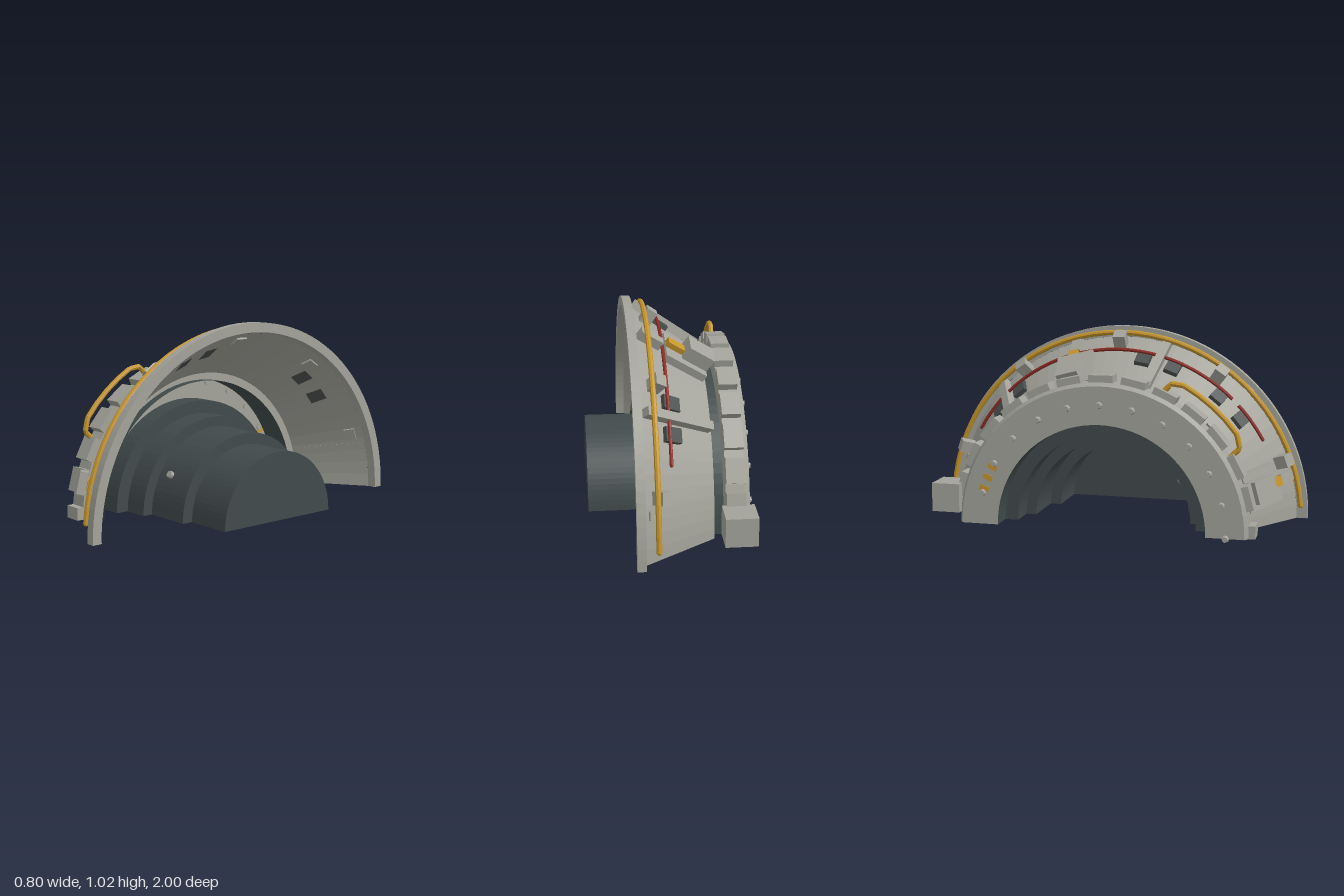
import * as THREE from 'three';

export function createModel() {
  const mat = (name, color) => new THREE.MeshStandardMaterial({ name, color, flatShading: true, side: THREE.DoubleSide });
  const grey = mat('hull grey', 0xa3a39b);
  const dark = mat('core charcoal', 0x414a4b);
  const clampMat = mat('clamp grey', 0x4a504e);
  const yellow = mat('pipe yellow', 0xc4952c);
  const red = mat('pipe red', 0x8c2b24);

  const model = new THREE.Group();
  const body = new THREE.Group();
  body.name = 'halfNozzle';
  body.position.y = 0.02;
  model.add(body);

  const SLOPE = Math.atan2(0.24, 0.355);
  const rad = THREE.MathUtils.degToRad;
  const coneR = (x) => 0.703 + (x + 0.21) * 0.24 / 0.355;

  // Half revolution about the x axis; profile is [x, radius] pairs
  function shell(name, profile, material, segments = 40) {
    const pts = profile.map(([x, r]) => new THREE.Vector2(r, x));
    const geo = new THREE.LatheGeometry(pts, segments, Math.PI, Math.PI);
    geo.rotateZ(-Math.PI / 2);
    const mesh = new THREE.Mesh(geo, material);
    mesh.name = name;
    body.add(mesh);
  }

  // Put a geometry at axial x, radius r and angle (degrees from +z upward)
  function place(name, geo, material, x, r, deg, tilt = 0) {
    const arm = new THREE.Group();
    arm.name = name;
    arm.rotation.x = Math.PI / 2 - rad(deg);
    const mesh = new THREE.Mesh(geo, material);
    mesh.name = name;
    mesh.position.set(x, r, 0);
    mesh.rotation.z = tilt;
    arm.add(mesh);
    body.add(arm);
  }
  const box = (l, h, w) => new THREE.BoxGeometry(l, h, w);

  // Straight-segmented pipe through [radius, degrees] points at axial x
  function pipe(name, x, points, radius, material) {
    const path = new THREE.CurvePath();
    const pts = points.map(([r, d]) => new THREE.Vector3(x, r * Math.sin(rad(d)), r * Math.cos(rad(d))));
    for (let i = 1; i < pts.length; i++) path.add(new THREE.LineCurve3(pts[i - 1], pts[i]));
    const mesh = new THREE.Mesh(new THREE.TubeGeometry(path, points.length * 4, radius, 8, false), material);
    mesh.name = name;
    body.add(mesh);
    for (const p of [pts[0], pts[pts.length - 1]]) {
      const cap = new THREE.Mesh(new THREE.SphereGeometry(radius, 8, 6), material);
      cap.name = name + 'End';
      cap.position.copy(p);
      body.add(cap);
    }
  }
  const arc = (r, from, to, n) => Array.from({ length: n + 1 }, (_, i) => [r, from + (to - from) * i / n]);

  // Main shells
  shell('cone', [[-0.21, 0.703], [0.145, 0.943]], grey);
  shell('flange', [[0.145, 0.943], [0.145, 1], [0.19, 1], [0.19, 0.95], [0.145, 0.943]], grey, 56);
  shell('collar', [[-0.38, 0.545], [-0.38, 0.74], [-0.355, 0.757], [-0.26, 0.757], [-0.26, 0.66]], grey);
  shell('liner', [[-0.37, 0.66], [-0.21, 0.66]], dark);
  shell('core', [[-0.38, 0.545], [-0.26, 0.545], [-0.26, 0.475], [-0.12, 0.475], [-0.12, 0.42],
    [0.14, 0.42], [0.14, 0.36], [0.4, 0.36], [0.4, 0.001]], dark);
  place('coreStud', new THREE.CylinderGeometry(0.018, 0.024, 0.04, 8), grey, -0.03, 0.418, 31);

  // Flange cut ends
  for (const s of [-1, 1]) {
    const end = new THREE.Mesh(box(0.045, 0.004, 0.053), grey);
    end.name = 'flangeEnd';
    end.position.set(0.1675, 0.002, s * 0.973);
    body.add(end);
  }

  // Collar blocks and face bolts
  for (let k = -6; k <= 6; k++) place('collarBlock', box(0.095, 0.07, 0.125), grey, -0.307, 0.757, 90 + k * 12.5);
  const endBlock = new THREE.Mesh(box(0.095, 0.065, 0.07), grey);
  endBlock.name = 'collarEndBlock';
  endBlock.position.set(-0.307, 0.0325, 0.755);
  body.add(endBlock);
  const bolt = new THREE.CylinderGeometry(0.014, 0.02, 0.03, 8).rotateZ(Math.PI / 2);
  for (let d = 0; d <= 165; d += 15) place('faceBolt', bolt, grey, -0.387, 0.645, d);
  for (const d of [152, 157.5, 163]) place('facePlate', box(0.006, 0.05, 0.028), yellow, -0.38, 0.645, d);

  // Box at the rear end of the collar
  const unit = new THREE.Mesh(box(0.16, 0.15, 0.15), grey);
  unit.name = 'endUnit';
  unit.position.set(-0.317, 0.13, -0.825);
  body.add(unit);

  // Long ribs, each with a pair of low dark clamps under the red pipe
  for (const d of [45, 75, 135]) {
    place('coneRib', box(0.4, 0.05, 0.045), grey, -0.04, coneR(-0.04) + 0.03, d, SLOPE);
    for (const s of [-5.5, 5.5])
      place('darkClamp', box(0.095, 0.026, 0.075), clampMat, -0.005, coneR(-0.005) + 0.014, d + s, SLOPE);
  }
  place('lowStrip', box(0.4, 0.012, 0.045), grey, -0.04, coneR(-0.04) + 0.005, 165, SLOPE);

  // Equipment packs: base panel, box, yellow fitting and short rib
  for (const d of [15, 105]) {
    place('packPanel', box(0.25, 0.04, 0.2), grey, -0.1, coneR(-0.1) + 0.026, d, SLOPE);
    place('packBox', box(0.15, 0.085, 0.115), grey, -0.17, 0.818, d, SLOPE);
    place('packFitting', box(0.1, 0.03, 0.05), yellow, -0.058, 0.873, d, SLOPE);
    place('shortRib', box(0.13, 0.05, 0.05), grey, 0.07, coneR(0.07) + 0.03, d, SLOPE);
  }

  // Clamps carrying the yellow pipe
  for (const d of [20, 55, 90, 125, 160])
    place('pipeClamp', box(0.06, 0.09, 0.065), grey, 0.065, 0.93, d, SLOPE);

  // Pipes and handle
  pipe('yellowPipe', 0.085, arc(0.97, 4.8, 175.2, 36), 0.014, yellow);
  pipe('redPipe', 0.01, arc(0.887, 29.5, 150.5, 30), 0.009, red);
  pipe('handle', -0.31, [[0.77, 31.5], [0.83, 32.5], ...arc(0.857, 37, 61, 4), [0.835, 65], [0.77, 66.5]], 0.014, yellow);

  return model;
}
